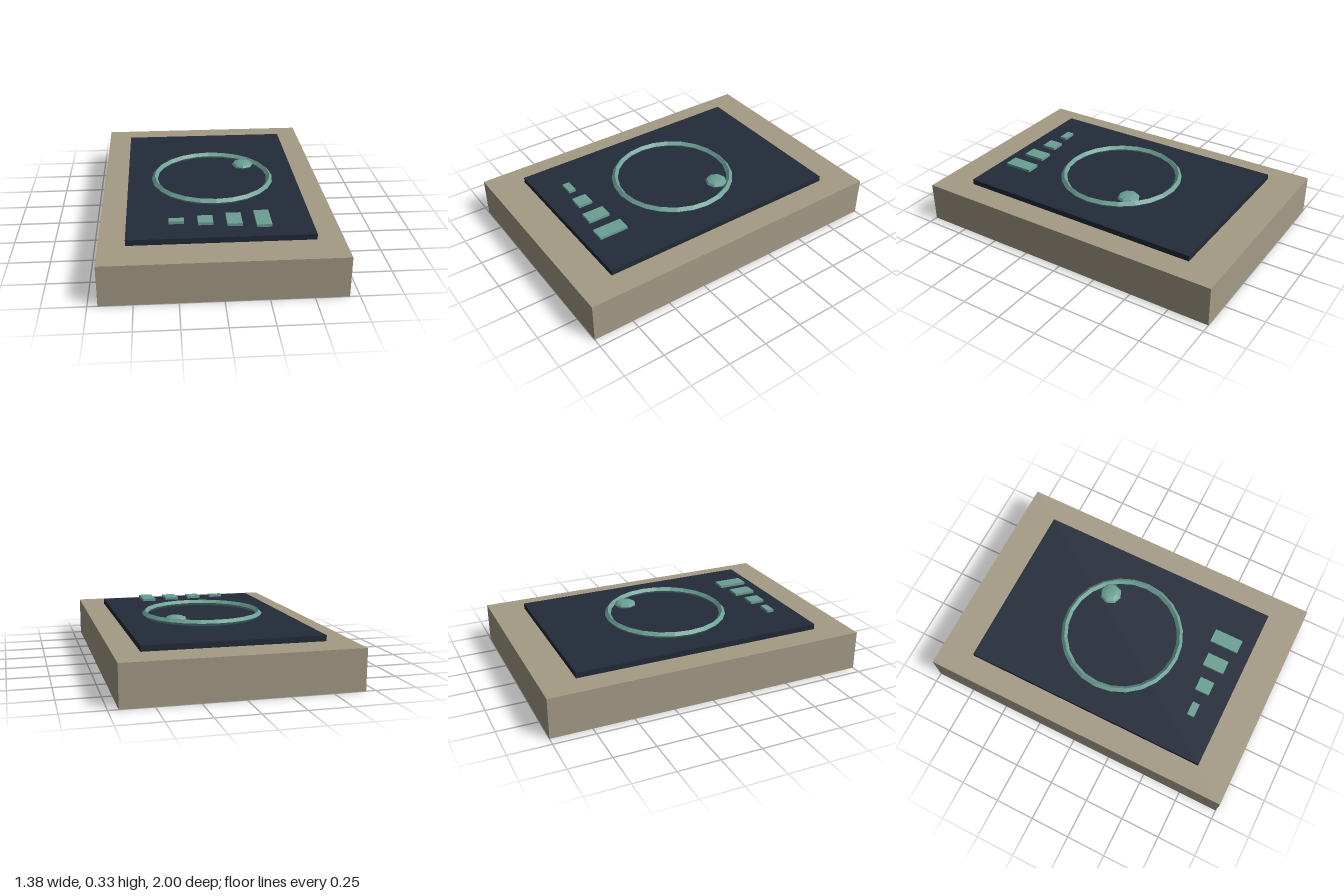
import * as THREE from 'three';

export function createModel() {
  const model = new THREE.Group();
  const material = (color) => new THREE.MeshStandardMaterial({ color, flatShading: true });
  const stone = material(0xa59b86);
  const dark = material(0x222b38);
  const teal = material(0x6b9f95);

  const add = (name, geometry, mat, x, y, z) => {
    const mesh = new THREE.Mesh(geometry, mat);
    mesh.name = name;
    mesh.position.set(x, y, z);
    model.add(mesh);
    return mesh;
  };

  // Block and raised panel
  add('base', new THREE.BoxGeometry(1.385, 0.247, 2), stone, 0, 0.1235, 0);
  add('panel', new THREE.BoxGeometry(1.077, 0.035, 1.57), dark, 0, 0.264, 0);

  // Diamond-section dial ring lying flat
  const ring = new THREE.TorusGeometry(0.368, 0.0195, 4, 24).rotateX(-Math.PI / 2);
  add('dialRing', ring, teal, 0, 0.299, 0);

  // Flattened faceted marker inside the ring
  const marker = new THREE.SphereGeometry(0.07, 8, 6).scale(1, 0.35, 1);
  add('dialMarker', marker, teal, 0.215, 0.301, -0.19);

  // Level bars growing to the left, hovering just above the panel
  for (let i = 0; i < 4; i++) {
    const bar = new THREE.BoxGeometry(0.088, 0.017, 0.046 * (i + 1));
    add('levelBar' + (i + 1), bar, teal, -0.249 + i * 0.166, 0.304, 0.614);
  }

  return model;
}
